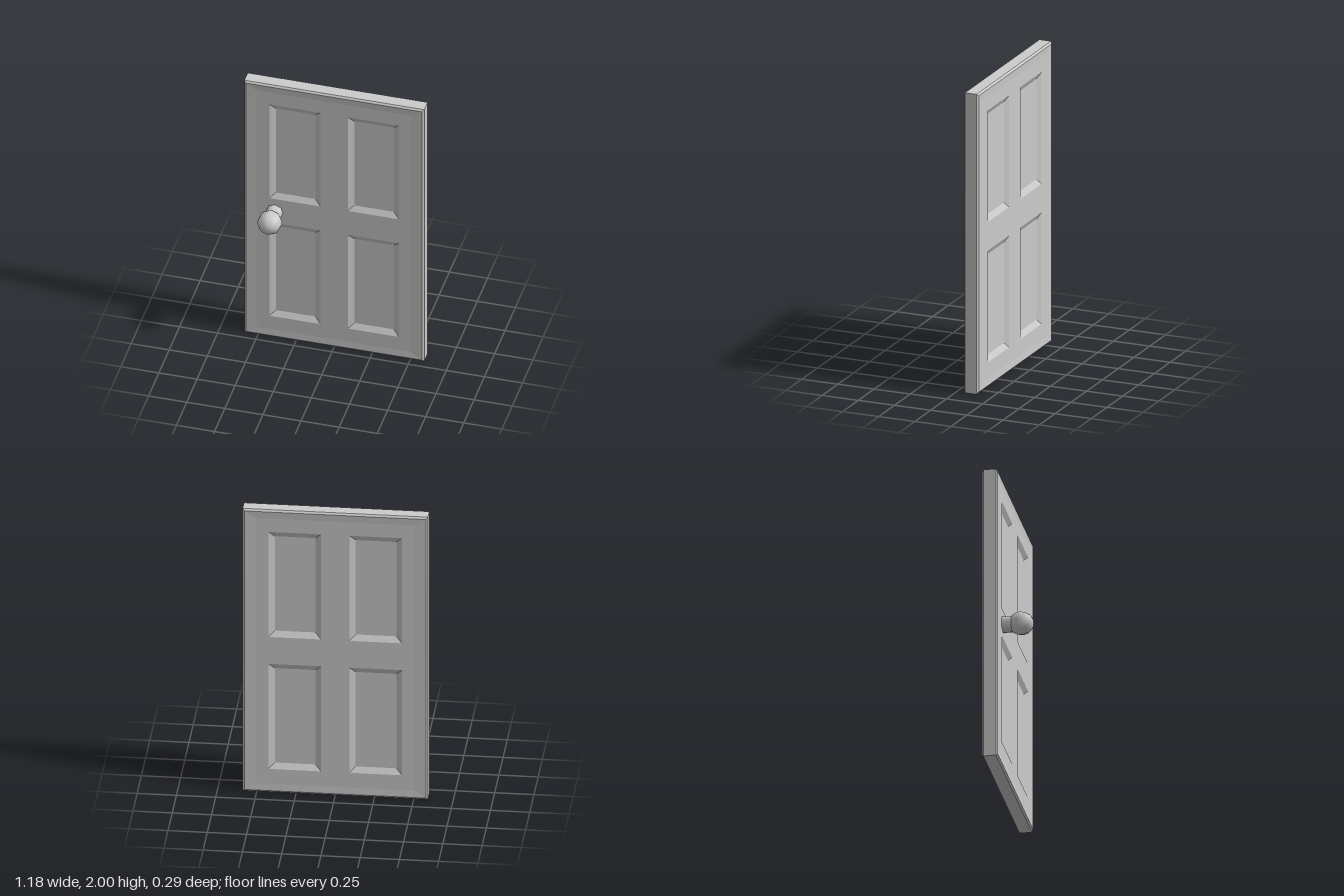
import * as THREE from 'three';

const material = new THREE.MeshStandardMaterial({ color: 0xcccccc });
const W = 0.59, H = 1, HALF = 0.05; // half width, half height, half thickness

// Corners of a rectangle, counter-clockwise seen from +z
const rect = (x0, y0, x1, y1, z) => [[x0, y0, z], [x1, y0, z], [x1, y1, z], [x0, y1, z]];
const centred = (w, h, z) => rect(-w, -h, w, h, z);

// Adds the four sloped sides joining an outer rectangle to an inner one
function addRing(out, outer, inner) {
  for (let i = 0; i < 4; i++) {
    const j = (i + 1) % 4;
    out.push(outer[i], outer[j], inner[j], outer[i], inner[j], inner[i]);
  }
}

function addQuad(out, [a, b, c, d]) {
  out.push(a, b, c, a, c, d);
}

// One half of the door slab, its face towards +z
function doorHalfGeometry() {
  const tris = [];
  const fieldZ = HALF - 0.003, panelZ = fieldZ - 0.02, bevel = 0.038;

  // Edge, bevelled corner, and shallow slope down to the flat field
  const rings = [
    centred(W, H, 0),
    centred(W, H, HALF - 0.01),
    centred(W - 0.013, H - 0.013, HALF),
    centred(0.505, 0.94, fieldZ),
  ];
  for (let i = 0; i < 3; i++) addRing(tris, rings[i], rings[i + 1]);

  // Flat field split into a grid whose odd cells are the sunken panels
  const xs = [-0.505, -0.425, -0.09, 0.09, 0.425, 0.505];
  const ys = [-0.94, -0.835, -0.09, 0.1, 0.845, 0.94];
  for (let i = 0; i < 5; i++) {
    for (let j = 0; j < 5; j++) {
      const [x0, x1, y0, y1] = [xs[i], xs[i + 1], ys[j], ys[j + 1]];
      const cell = rect(x0, y0, x1, y1, fieldZ);
      if (i % 2 && j % 2) {
        const floor = rect(x0 + bevel, y0 + bevel, x1 - bevel, y1 - bevel, panelZ);
        addRing(tris, cell, floor);
        addQuad(tris, floor);
      } else addQuad(tris, cell);
    }
  }
  const geometry = new THREE.BufferGeometry();
  geometry.setAttribute('position', new THREE.Float32BufferAttribute(tris.flat(), 3));
  geometry.computeVertexNormals();
  return geometry;
}

export function createModel() {
  const model = new THREE.Group();
  model.name = 'door';

  // Panelled slab, the same on both sides
  const half = doorHalfGeometry();
  for (const [name, turn] of [['doorFront', 0], ['doorBack', Math.PI]]) {
    const mesh = new THREE.Mesh(half, material);
    mesh.name = name;
    mesh.position.set(0, H, -0.098);
    mesh.rotation.y = turn;
    model.add(mesh);
  }

  // Round handle on a short neck, front side only
  const handle = new THREE.Group();
  handle.name = 'handle';
  handle.position.set(-0.39, 1, 0);
  const neck = new THREE.Mesh(new THREE.CylinderGeometry(0.055, 0.055, 0.09, 8), material);
  neck.name = 'handleNeck';
  neck.position.z = -0.015;
  const knob = new THREE.Mesh(new THREE.SphereGeometry(0.079, 8, 16), material);
  knob.name = 'handleKnob';
  knob.position.z = 0.067;
  for (const part of [neck, knob]) {
    part.rotation.x = Math.PI / 2;
    handle.add(part);
  }
  model.add(handle);
  return model;
}
